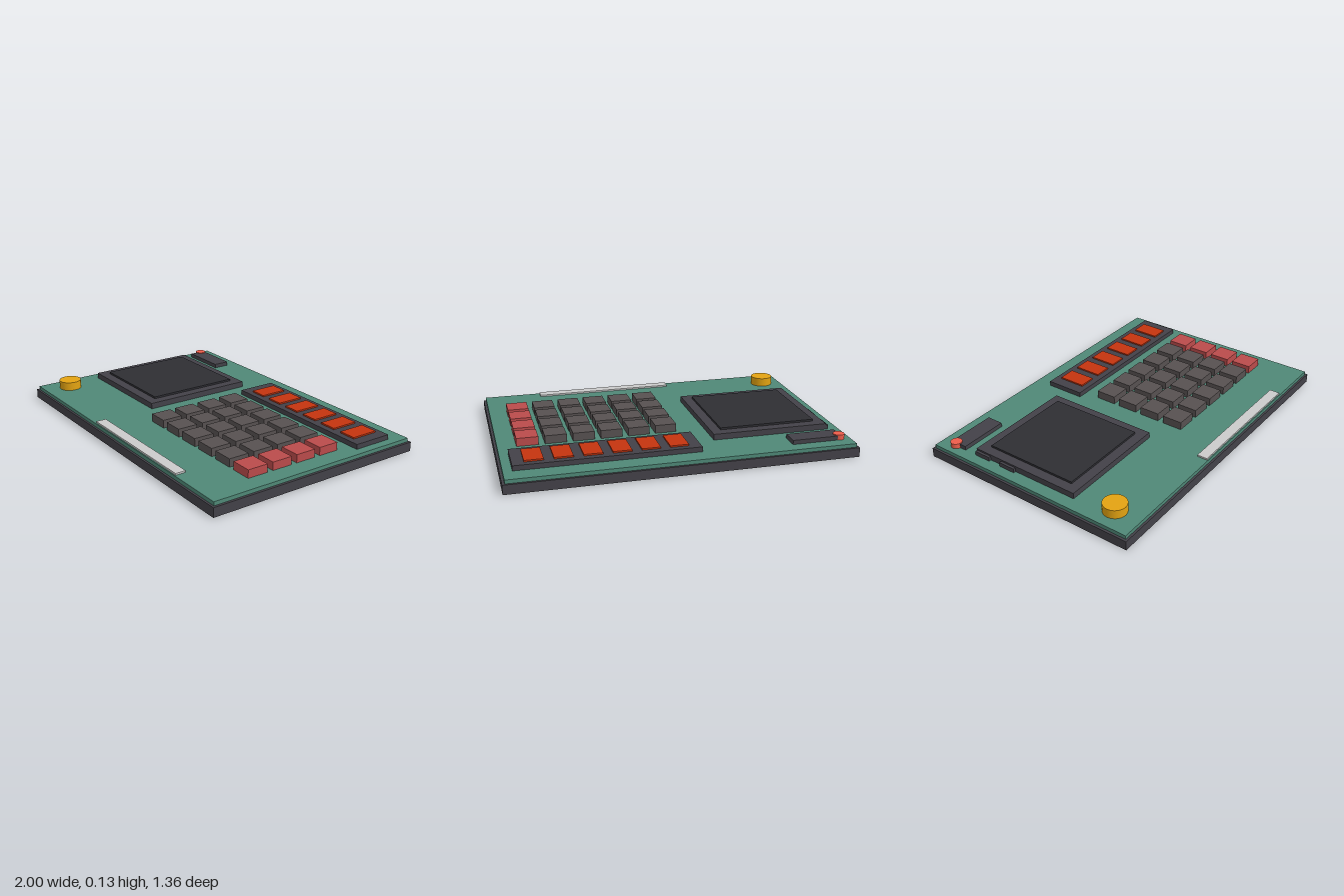
import * as THREE from 'three';

const paint = (color) => new THREE.MeshStandardMaterial({ color });

const colors = {
  casing: paint(0x434148), board: paint(0x4f8877), screen: paint(0x2e2e33),
  key: paint(0x575151), redKey: paint(0xba4b4b), digit: paint(0xc5340f),
  knob: paint(0xe3a312), lamp: paint(0xee5d4b), strip: paint(0xcccccc),
};

const BOARD_TOP = 0.077;
const SEAT = BOARD_TOP - 0.004; // parts sink slightly into the board

// Box given by its x, y and z extents
function block(name, material, [x0, x1], [y0, y1], [z0, z1]) {
  const mesh = new THREE.Mesh(new THREE.BoxGeometry(x1 - x0, y1 - y0, z1 - z0), material);
  mesh.position.set((x0 + x1) / 2, (y0 + y1) / 2, (z0 + z1) / 2);
  mesh.name = name;
  return mesh;
}

// Upright cylinder standing on the board
function disc(name, material, x, z, radius, top) {
  const mesh = new THREE.Mesh(new THREE.CylinderGeometry(radius, radius, top - SEAT, 32), material);
  mesh.position.set(x, (SEAT + top) / 2, z);
  mesh.name = name;
  return mesh;
}

export function createModel() {
  const model = new THREE.Group();
  model.name = 'keypadConsole';

  // Dark tray with the circuit board on top
  model.add(block('tray', colors.casing, [-1, 1], [0, 0.055], [-0.68, 0.68]));
  model.add(block('circuitBoard', colors.board, [-0.986, 0.986], [0.04, BOARD_TOP], [-0.667, 0.667]));

  // Large square screen
  model.add(block('screenBezel', colors.casing, [-0.91, -0.22], [SEAT, 0.112], [-0.414, 0.277]));
  model.add(block('screen', colors.screen, [-0.852, -0.278], [0.1, 0.124], [-0.355, 0.218]));

  // Row of chips, partly under the screen
  for (const z of [-0.54, -0.36, -0.178]) {
    model.add(block('chip', colors.casing, [-0.925, -0.63], [SEAT, 0.102], [z - 0.051, z + 0.051]));
  }

  // Six-digit display
  model.add(block('digitBezel', colors.casing, [-0.107, 0.935], [SEAT, 0.106], [-0.562, -0.323]));
  for (let i = 0; i < 6; i++) {
    const x = 0.0145 + i * 0.1605;
    model.add(block('digit', colors.digit, [x - 0.053, x + 0.053], [0.095, 0.115], [-0.526, -0.36]));
  }

  // Keypad, with a red last column
  const keypad = new THREE.Group();
  keypad.name = 'keypad';
  for (let row = 0; row < 4; row++) {
    for (let col = 0; col < 6; col++) {
      const x = 0.0145 + col * 0.1605, z = -0.165 + row * 0.1605;
      keypad.add(block('key', col === 5 ? colors.redKey : colors.key,
        [x - 0.0625, x + 0.0625], [SEAT, 0.125], [z - 0.0625, z + 0.0625]));
    }
  }
  model.add(keypad);

  // Knob, lamp and front connector strip
  model.add(disc('knob', colors.knob, -0.858, 0.507, 0.068, 0.129));
  model.add(disc('lamp', colors.lamp, -0.92, -0.563, 0.033, 0.107));
  model.add(block('connectorStrip', colors.strip, [-0.215, 0.638], [SEAT, 0.087], [0.598, 0.66]));

  return model;
}
